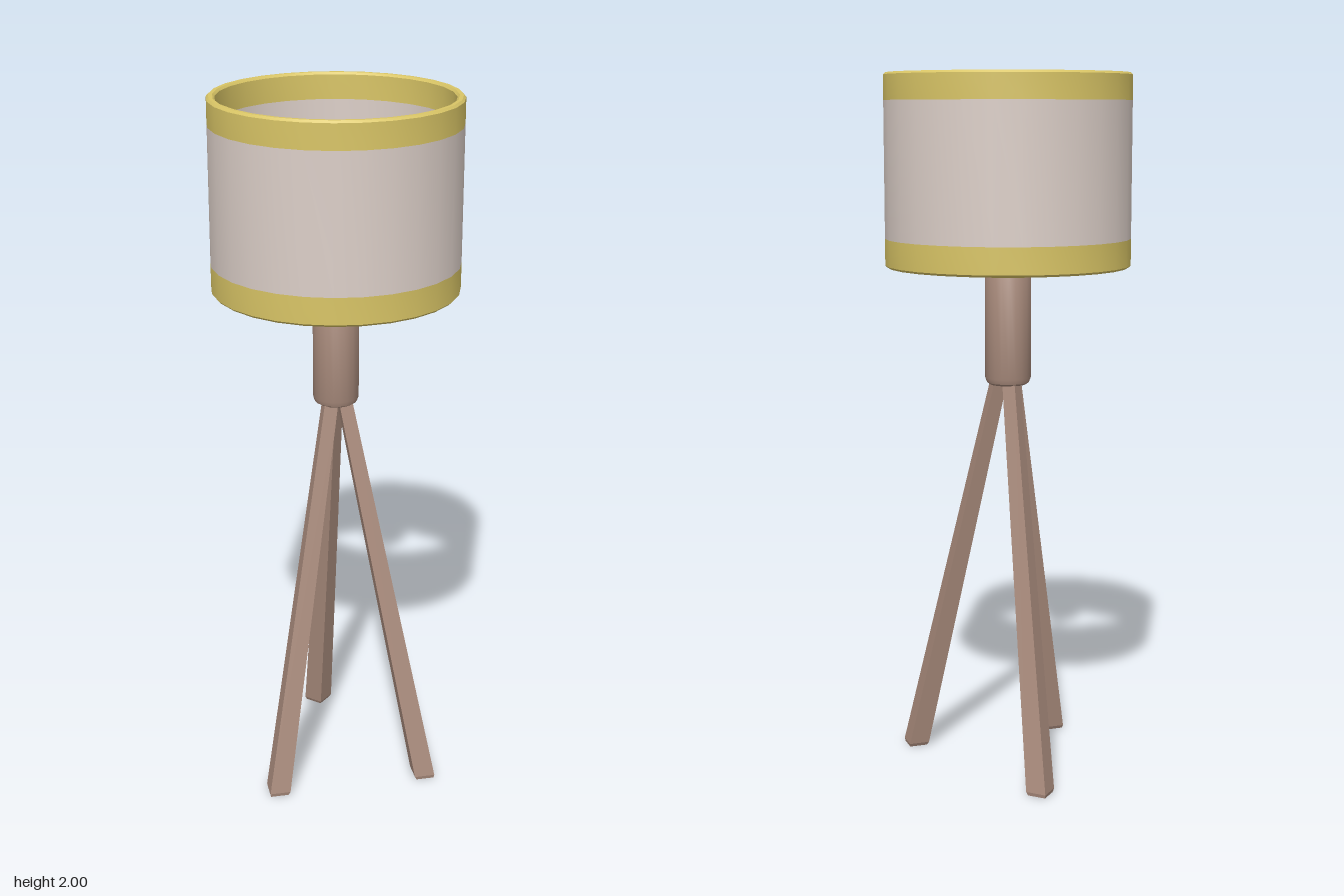
import * as THREE from 'three';
import { toCreasedNormals } from 'three/addons/utils/BufferGeometryUtils.js';

const paint = (name, color) => {
  const m = new THREE.MeshStandardMaterial({ color });
  m.name = name;
  return m;
};

export function createModel() {
  const lamp = new THREE.Group();
  lamp.name = 'tripodLamp';
  const wood = paint('brownWood', 0xaa8c7d);
  const cream = paint('creamFabric', 0xdccfc8);
  const gold = paint('goldTrim', 0xd9c566);
  const metal = paint('greyMetal', 0x87878a);

  const add = (name, geometry, material) => {
    const mesh = new THREE.Mesh(geometry, material);
    mesh.name = name;
    lamp.add(mesh);
    return mesh;
  };
  const lathe = (points, sides) => toCreasedNormals(
    new THREE.LatheGeometry(points.map(p => new THREE.Vector2(...p)), sides), 0.6);

  // Shade: fabric walls between two trim bands with softened rims
  const R = 0.345, r = 0.322, e = 0.006, sides = 28;
  const y0 = 1.465, y1 = 1.545, y2 = 1.925, y3 = 2;
  add('shadeOuter', lathe([[R, y1], [R, y2]], sides), cream);
  add('shadeInner', lathe([[r, y2], [r, y1]], sides), cream);
  add('topBand', lathe([[R, y2], [R, y3 - e], [R - e, y3], [r + e, y3], [r, y3 - e], [r, y2]], sides), gold);
  add('bottomBand', lathe([[r, y1], [r, y0 + e], [r + e, y0], [R - e, y0], [R, y0 + e], [R, y1]], sides), gold);

  // Stem with rounded ends
  add('stem', lathe([[0, 1.13], [0.05, 1.13], [0.06, 1.136], [0.065, 1.15],
    [0.065, 1.485], [0.06, 1.495], [0.05, 1.5], [0, 1.5]], 20), wood);

  // Bulb on a thin upright
  add('bulb', new THREE.SphereGeometry(0.067, 24, 16), cream).position.y = 1.8;
  const upright = add('bulbPost', new THREE.CylinderGeometry(0.009, 0.009, 0.27, 8), metal);
  upright.position.y = 1.625;

  // Four spokes holding the shade
  for (let i = 0; i < 4; i++) {
    const g = new THREE.CylinderGeometry(0.007, 0.007, 0.325, 8);
    g.rotateX(Math.PI / 2).translate(0, 0, 0.1625).rotateY(i * Math.PI / 2);
    add('shadeSpoke', g, metal).position.y = 1.512;
  }

  // Tapered square legs, corner outwards, with a small chamfer at the foot
  const leg = (name, angle, footRadius) => {
    let g = new THREE.CylinderGeometry(1, 1, 1, 4, 2);
    const p = g.attributes.position;
    for (let i = 0; i < p.count; i++) {
      const level = Math.round((p.getY(i) + 0.5) * 2);
      const y = [0, 0.01, 1.16][level];
      const size = [0.037, 0.042, 0.027][level];
      const lean = THREE.MathUtils.lerp(footRadius, 0.024, y / 1.16);
      p.setXYZ(i, p.getX(i) * size, y, p.getZ(i) * size + lean);
    }
    g.rotateY(angle);
    g = g.toNonIndexed();
    g.computeVertexNormals();
    add(name, g, wood);
  };
  leg('frontLeftLeg', Math.PI / 4, 0.311);
  leg('frontRightLeg', -Math.PI / 4, 0.311);
  leg('backLeg', Math.PI, 0.277);

  return lamp;
}
